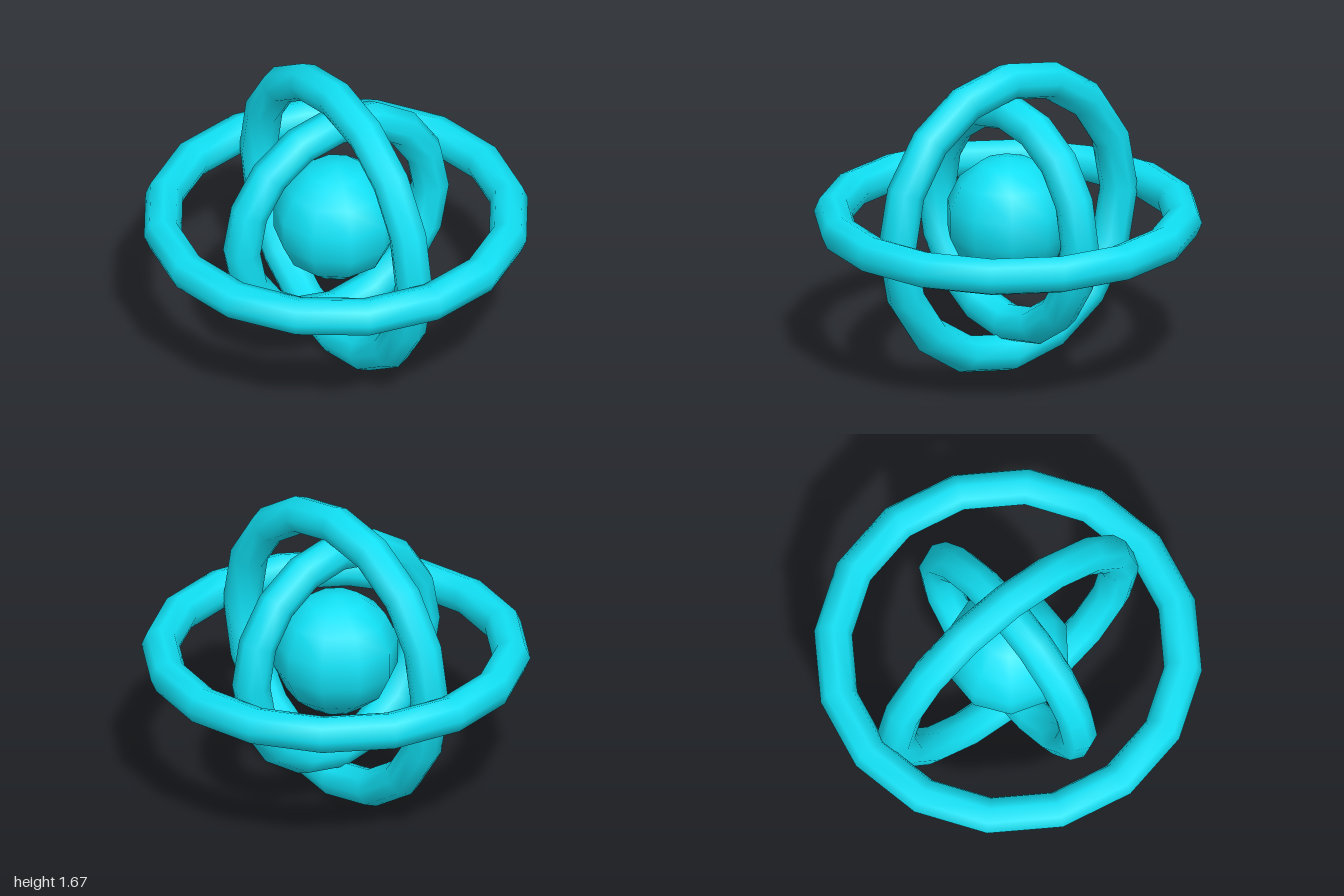
import * as THREE from 'three';

const UNIT = 1 / 3.05;          // outermost reach scaled to 1
const TUBE = 0.3 * UNIT;
const CENTER_Y = 2.55 * UNIT;   // middle ring rests on the ground

export function createModel() {
  const model = new THREE.Group();
  model.name = 'gyroscope';
  const material = new THREE.MeshStandardMaterial({ color: 0x10e0f4 });

  const add = (name, geometry) => {
    const mesh = new THREE.Mesh(geometry, material);
    mesh.name = name;
    mesh.position.y = CENTER_Y;
    model.add(mesh);
    return mesh;
  };
  const ring = (name, radius) => add(name, new THREE.TorusGeometry(radius * UNIT, TUBE, 8, 16));

  // Central ball
  add('coreSphere', new THREE.SphereGeometry(UNIT, 10, 7));

  // Three nested rings, one per axis plane
  ring('innerRing', 1.75);
  ring('middleRing', 2.25).rotation.y = Math.PI / 2;
  ring('outerRing', 2.75).rotation.x = Math.PI / 2;

  return model;
}
